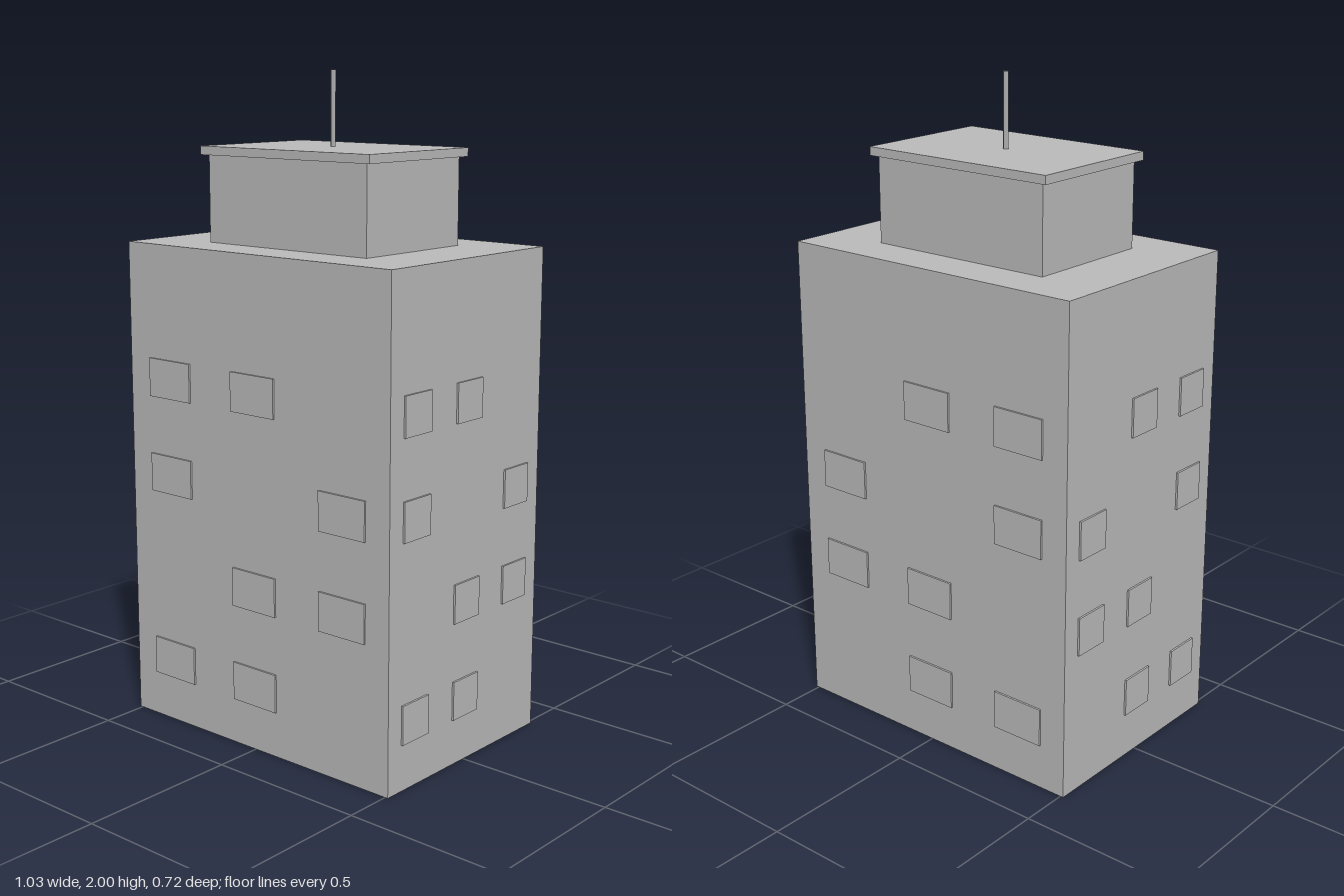
import * as THREE from 'three';

export function createModel() {
  const building = new THREE.Group();
  building.name = 'towerBlock';
  const concrete = new THREE.MeshStandardMaterial({ color: 0xbcbcbc });
  concrete.name = 'concrete grey';

  // Adds a box whose underside sits at height y
  function box(name, w, h, d, x, y, z, parent = building) {
    const mesh = new THREE.Mesh(new THREE.BoxGeometry(w, h, d), concrete);
    mesh.name = name;
    mesh.position.set(x, y + h / 2, z);
    parent.add(mesh);
    return mesh;
  }

  // Stacked masses
  const W = 1.02, H = 1.492, D = 0.706;
  box('mainBlock', W, H, D, 0, 0, 0);
  box('penthouse', 0.61, 0.26, 0.42, 0, H, 0);
  box('roofSlab', 0.652, 0.026, 0.45, 0, 1.752, 0);

  // Four-sided antenna
  const antenna = new THREE.Mesh(new THREE.CylinderGeometry(0.01, 0.01, 0.222, 4), concrete);
  antenna.name = 'antenna';
  antenna.position.y = 1.889;
  building.add(antenna);

  // Shallow window plates: floors occupied in each column, from -x to +x
  const columns = [[0, 2, 3], [0, 1, 3], [1, 2]];
  const windows = new THREE.Group();
  windows.name = 'windows';
  building.add(windows);
  const thick = 0.006;
  for (const side of [1, -1]) {
    columns.forEach((floors, c) => {
      for (const floor of floors) {
        const y = 0.14 + floor * 0.296;
        // front and back walls
        box(side > 0 ? 'frontWindow' : 'backWindow', 0.17, 0.118, thick,
          (c - 1) * 0.34, y, side * (D / 2 + thick / 2), windows);
        // side walls follow the same pattern, from +z to -z
        box(side > 0 ? 'leftWindow' : 'rightWindow', thick, 0.118, 0.117,
          side * (W / 2 + thick / 2), y, (1 - c) * 0.236, windows);
      }
    });
  }
  return building;
}
